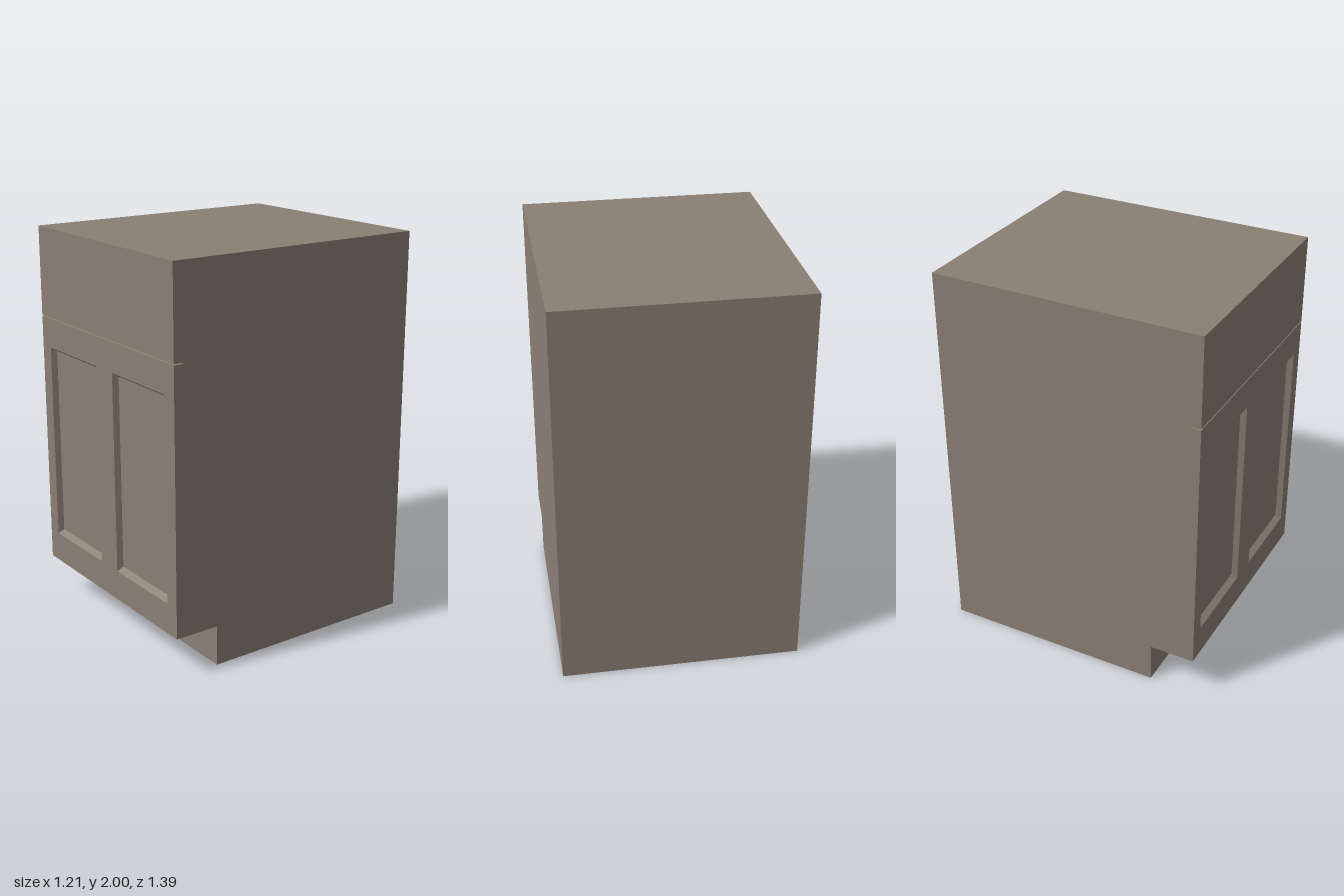
import * as THREE from 'three';

const W = 1.214, BACK = -0.695, FRONT = 0.695, FACE = 0.645; // FACE: where the fronts meet the carcass
const KICK_Y = 0.205, SEAM_Y = 1.54, SEAM = 0.006, TOP = 2;
const PANEL = { x0: 0.075, x1: 0.53, y0: 0.36, y1: 1.385, insetX: 0.01, insetY: 0.02, depth: 0.03 };

const material = new THREE.MeshStandardMaterial({ color: 0x8b7f74, flatShading: true });

function add(group, name, geometry) {
  const mesh = new THREE.Mesh(geometry, material);
  mesh.name = name;
  group.add(mesh);
  return mesh;
}

const rectangle = (x0, y0, x1, y1) => [[x0, y0], [x1, y0], [x1, y1], [x0, y1]];
const toPoints = (corners) => corners.map(([x, y]) => new THREE.Vector2(x, y));

// Four sloping walls and a flat floor, joining an outer and an inner rectangle
function recessGeometry({ x0, x1, y0, y1, insetX, insetY, depth }) {
  const outer = rectangle(x0, y0, x1, y1).map(([x, y]) => [x, y, FRONT]);
  const inner = rectangle(x0 + insetX, y0 + insetY, x1 - insetX, y1 - insetY)
    .map(([x, y]) => [x, y, FRONT - depth]);
  const positions = [];
  const quad = (a, b, c, d) => positions.push(...a, ...b, ...c, ...a, ...c, ...d);
  for (let i = 0; i < 4; i++) {
    const j = (i + 1) % 4;
    quad(outer[i], outer[j], inner[j], inner[i]);
  }
  quad(...inner);
  const geometry = new THREE.BufferGeometry();
  geometry.setAttribute('position', new THREE.Float32BufferAttribute(positions, 3));
  geometry.computeVertexNormals();
  return geometry;
}

export function createModel() {
  const cabinet = new THREE.Group();
  cabinet.name = 'cabinet';

  // Carcass: side profile with the toe kick notch, extruded across the width
  const profile = [[BACK, 0], [BACK, TOP], [FACE, TOP], [FACE, KICK_Y], [0.465, KICK_Y], [0.465, 0]]
    .map(([z, y]) => [-z, y]);
  const carcass = new THREE.ExtrudeGeometry(new THREE.Shape(toPoints(profile)),
    { depth: W, bevelEnabled: false });
  carcass.rotateY(Math.PI / 2).translate(-W / 2, 0, 0);
  add(cabinet, 'carcass', carcass);

  // Drawer front above the seam
  const drawerBottom = SEAM_Y + SEAM / 2;
  const drawer = add(cabinet, 'drawerFront',
    new THREE.BoxGeometry(W, TOP - drawerBottom, FRONT - FACE));
  drawer.position.set(0, (TOP + drawerBottom) / 2, (FRONT + FACE) / 2);

  // Door front with two openings
  const { x0, x1, y0, y1 } = PANEL;
  const sides = [['rightPanel', -x1, -x0], ['leftPanel', x0, x1]];
  const doorShape = new THREE.Shape(toPoints(rectangle(-W / 2, KICK_Y, W / 2, SEAM_Y - SEAM / 2)));
  for (const [, a, b] of sides) {
    doorShape.holes.push(new THREE.Path(toPoints(rectangle(a, y0, b, y1).reverse())));
  }
  const door = new THREE.ExtrudeGeometry(doorShape, { depth: FRONT - FACE, bevelEnabled: false });
  door.translate(0, 0, FACE);
  add(cabinet, 'doorFrame', door);

  // Recessed panels with sloping edges
  for (const [name, a, b] of sides) {
    add(cabinet, name, recessGeometry({ ...PANEL, x0: a, x1: b }));
  }

  return cabinet;
}
